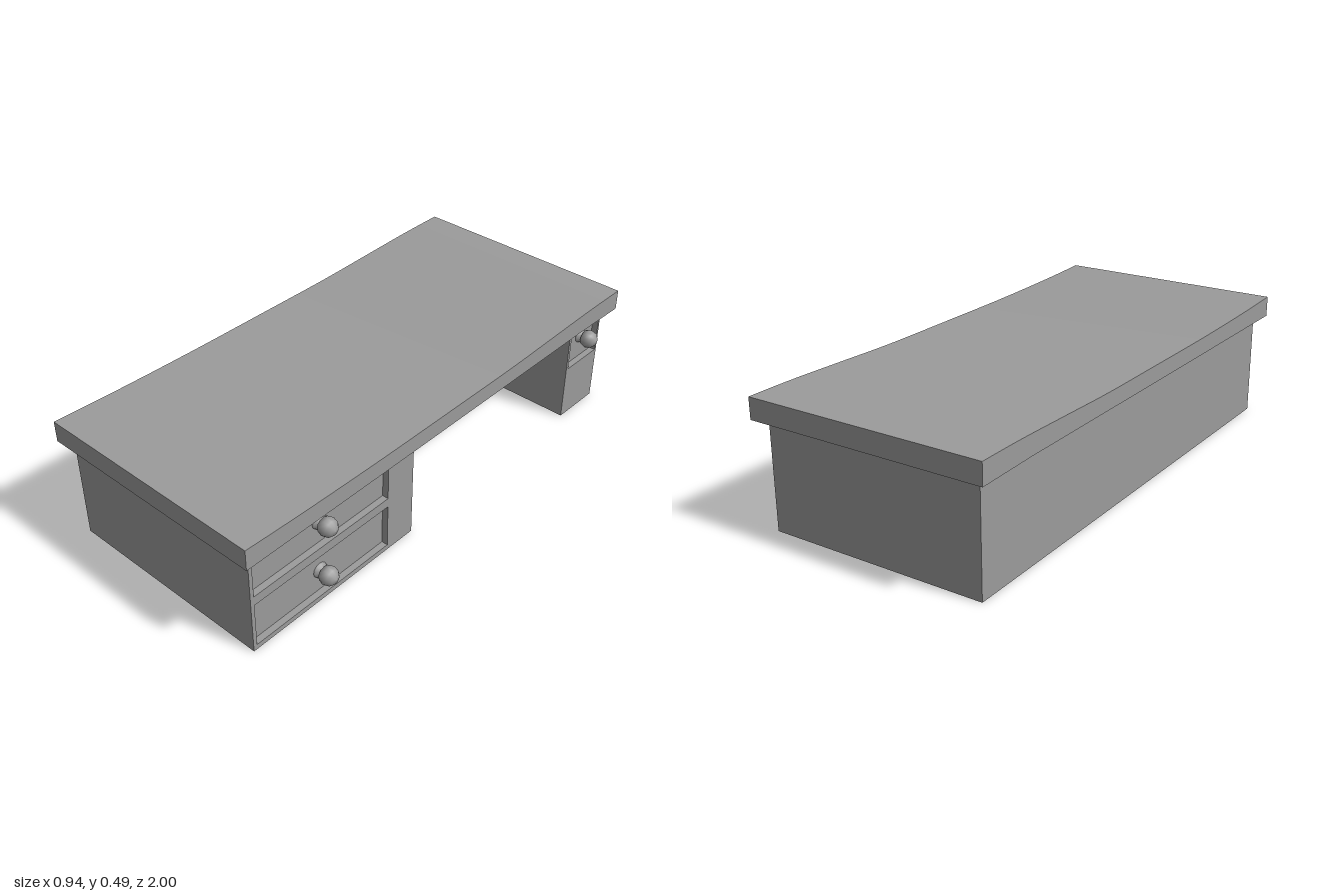
import * as THREE from 'three';

const TOP = 0.415, FRONT = 0.42, BACK = -0.43, KNEE = -0.337, RECESS = 0.025;

const material = new THREE.MeshStandardMaterial({ color: 0x9b9b9b, side: THREE.DoubleSide });

function add(group, name, geometry) {
  const mesh = new THREE.Mesh(geometry, material);
  mesh.name = name;
  group.add(mesh);
  return mesh;
}

// Rectangle drawn side-on in (-z, y)
function rectangle(path, z0, z1, y0, y1) {
  path.moveTo(-z1, y0);
  path.lineTo(-z0, y0);
  path.lineTo(-z0, y1);
  path.lineTo(-z1, y1);
  path.closePath();
  return path;
}

// Box without its +x face, so it opens to the front
function recessGeometry(height, width) {
  const g = new THREE.BoxGeometry(RECESS, height, width);
  g.setIndex(Array.from(g.index.array).slice(6));
  g.clearGroups();
  return g;
}

// Turned knob: flared foot, narrow neck, coarse round ball
function knobGeometry() {
  const points = [[0.03, 0], [0.028, 0.006], [0.016, 0.013], [0.014, 0.017]];
  for (let i = 1; i <= 5; i++) {
    const a = Math.PI * (0.15 + 0.85 * i / 5);
    points.push([Math.max(0, 0.036 * Math.sin(a)), 0.041 - 0.036 * Math.cos(a)]);
  }
  const g = new THREE.LatheGeometry(points.map(p => new THREE.Vector2(...p)), 12);
  return g.rotateZ(-Math.PI / 2);
}

// Pedestal face with recessed drawers, each with a knob
function pedestalFront(name, z0, z1, drawers) {
  const group = new THREE.Group();
  group.name = name;
  const face = rectangle(new THREE.Shape(), z0, z1, 0, TOP);
  for (const [a, b, y0, y1, knobY, knobZ] of drawers) {
    face.holes.push(rectangle(new THREE.Path(), a, b, y0, y1));
    add(group, 'drawerRecess', recessGeometry(y1 - y0, b - a))
      .position.set(FRONT - RECESS / 2, (y0 + y1) / 2, (a + b) / 2);
    add(group, 'drawerKnob', knobGeometry()).position.set(FRONT - RECESS, knobY, knobZ);
  }
  add(group, 'drawerFrame', new THREE.ShapeGeometry(face).rotateY(Math.PI / 2))
    .position.x = FRONT;
  return group;
}

export function createModel() {
  const desk = new THREE.Group();
  desk.name = 'desk';

  // Tabletop with a gently sagging upper surface, drawn in (-z, y)
  const toVector = p => new THREE.Vector2(...p);
  const sag = new THREE.SplineCurve([
    [-1, 0.49], [-0.75, 0.481], [-0.4, 0.475], [0, 0.475],
    [0.3, 0.476], [0.55, 0.483], [0.8, 0.49], [1, 0.491],
  ].map(toVector)).getPoints(24);
  const underside = [[-1, 0.409], [-0.3, 0.41], [0.5, 0.413], [0.75, 0.414], [1, 0.41]];
  const slab = new THREE.Shape([...underside.map(toVector), ...sag.reverse()]);
  const slabGeometry = new THREE.ExtrudeGeometry(slab, { depth: 0.93, bevelEnabled: false });
  add(desk, 'tabletop', slabGeometry.rotateY(Math.PI / 2)).position.x = -0.47;

  // Thin walls, open underneath, wrapping both pedestals and the knee space
  const walls = [
    ['leftEndPanel', FRONT, 0.96, BACK, 0.96],
    ['backPanel', BACK, 0.96, BACK, -0.958],
    ['rightEndPanel', BACK, -0.958, FRONT, -0.958],
    ['narrowPedestalSide', FRONT, -0.75, KNEE, -0.75],
    ['kneePanel', KNEE, -0.75, KNEE, 0.185],
    ['widePedestalSide', KNEE, 0.185, FRONT, 0.185],
  ];
  for (const [name, x0, z0, x1, z1] of walls) {
    const wall = add(desk, name, new THREE.PlaneGeometry(Math.hypot(x1 - x0, z1 - z0), TOP));
    wall.position.set((x0 + x1) / 2, TOP / 2, (z0 + z1) / 2);
    wall.rotation.y = Math.atan2(z0 - z1, x1 - x0);
  }

  // Drawers: z range, y range, knob height and knob z
  desk.add(pedestalFront('widePedestalFront', 0.185, 0.96, [
    [0.315, 0.945, 0.02, 0.196, 0.107, 0.628],
    [0.315, 0.945, 0.233, 0.4, 0.323, 0.628],
  ]));
  desk.add(pedestalFront('narrowPedestalFront', -0.958, -0.75, [
    [-0.949, -0.762, 0.223, 0.407, 0.323, -0.861],
  ]));

  return desk;
}
